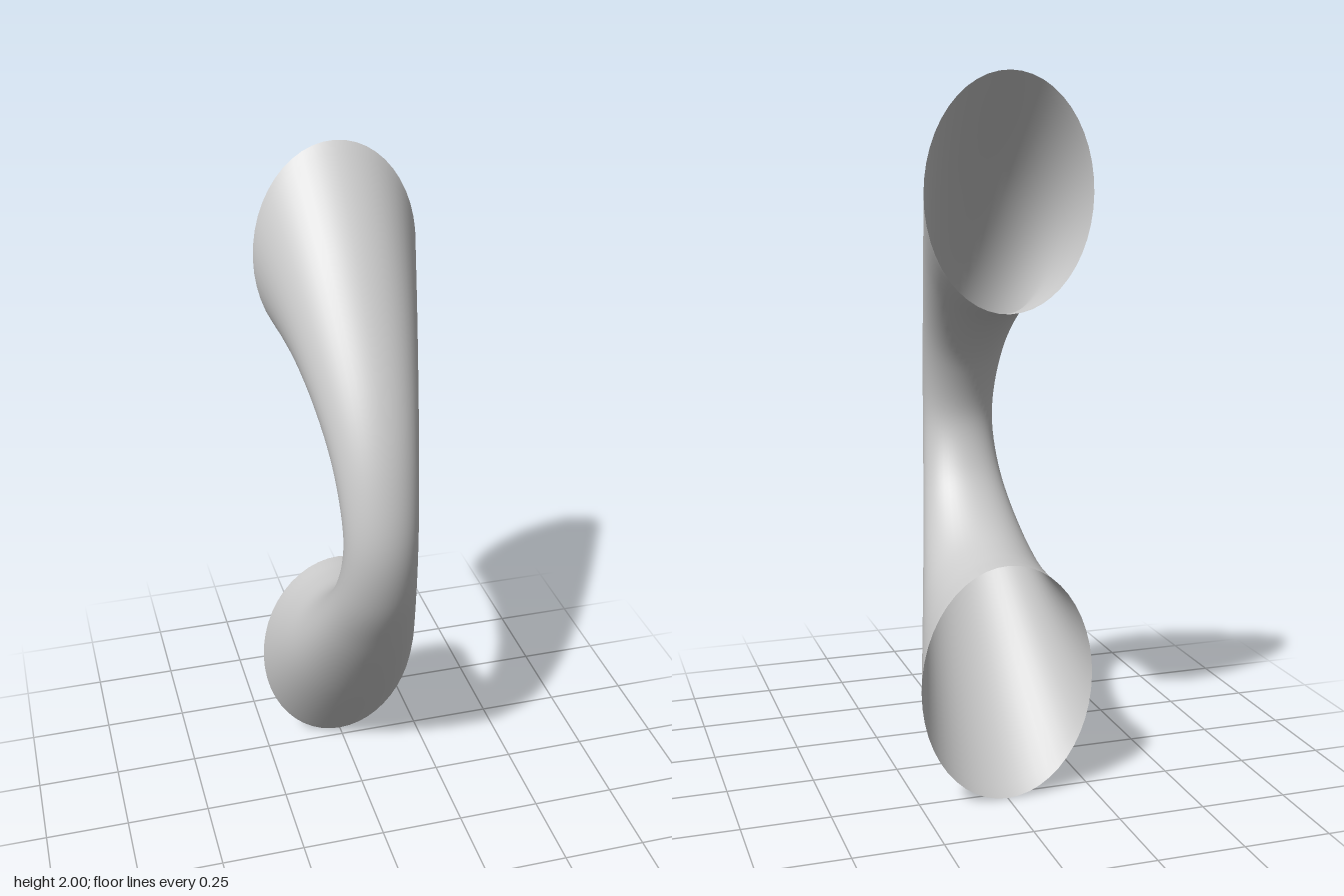
import * as THREE from 'three';

// Side profile curves as [y, z], from the top end to the bottom end
const curve = pts => new THREE.CatmullRomCurve3(pts.map(([y, z]) => new THREE.Vector3(0, y, z)), false, 'centripetal');
const outer = curve([[2, -0.283], [1.69, -0.02], [1.4, 0.175], [1.2, 0.255], [1.01, 0.283],
  [0.82, 0.245], [0.62, 0.145], [0.36, -0.02], [0, -0.283]]);
const inner = curve([[1.37, -0.283], [1.36, -0.2], [1.33, -0.1], [1.26, 0], [1.17, 0.07], [1.02, 0.117],
  [0.88, 0.08], [0.78, 0], [0.71, -0.1], [0.685, -0.2], [0.68, -0.283]]);

// Loft elliptical rings between the outer and inner curves
function flaredTube(rings, sides) {
  const pos = [], index = [];
  for (let i = 0; i <= rings; i++) {
    const t = i / rings;
    const o = outer.getPointAt(t), n = inner.getPointAt(t);
    const c = o.clone().add(n).multiplyScalar(0.5);
    const d = o.sub(n).multiplyScalar(0.5);
    // slim at the grip, flaring towards the ends
    const flare = THREE.MathUtils.clamp((0.2 - c.z) / 0.483, 0, 1);
    const endWidth = t < 0.5 ? 0.235 : 0.25;
    const w = THREE.MathUtils.lerp(0.105, endWidth, flare);
    for (let j = 0; j < sides; j++) {
      const a = (j / sides) * Math.PI * 2;
      pos.push(Math.sin(a) * w, c.y + Math.cos(a) * d.y, c.z + Math.cos(a) * d.z);
      if (i === rings) continue;
      const k = (j + 1) % sides, r = i * sides, s = r + sides;
      index.push(r + j, s + j, r + k, r + k, s + j, s + k);
    }
  }
  const g = new THREE.BufferGeometry();
  g.setAttribute('position', new THREE.Float32BufferAttribute(pos, 3));
  g.setIndex(index);
  g.computeVertexNormals();
  return g;
}

export function createModel() {
  const group = new THREE.Group();
  group.name = 'pullHandle';
  // Hollow handle shell, open at both flat mounting ends
  const shell = new THREE.Mesh(flaredTube(64, 48),
    new THREE.MeshStandardMaterial({ color: 0xcccccc, side: THREE.DoubleSide }));
  shell.name = 'handleShell';
  group.add(shell);
  return group;
}
